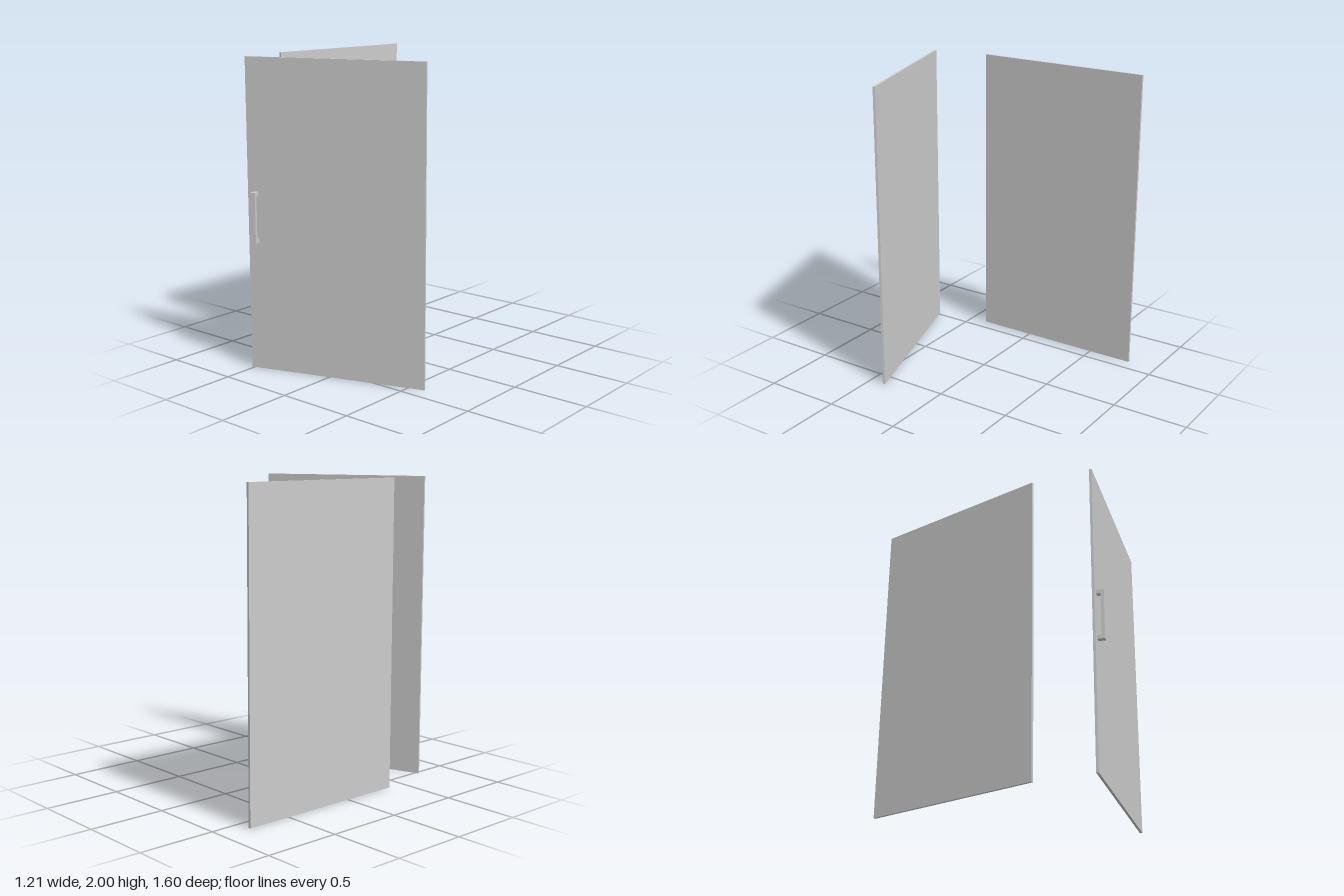
import * as THREE from 'three';

const THICK = 0.016;
const mat = new THREE.MeshStandardMaterial({ color: 0xcccccc, flatShading: true });

// A flat panel assembled from polygonal pieces that meet along fine joints
function makePanel(name, pieces, toLocal) {
  const panel = new THREE.Group();
  panel.name = name;
  pieces.forEach((points, i) => {
    const shape = new THREE.Shape(points.map(([a, y]) => new THREE.Vector2(toLocal(a), y)));
    const geo = new THREE.ExtrudeGeometry(shape, { depth: THICK, bevelEnabled: false });
    geo.translate(0, 0, -THICK / 2);
    const mesh = new THREE.Mesh(geo, mat);
    mesh.name = `${name}Piece${i + 1}`;
    panel.add(mesh);
  });
  return panel;
}

// C-shaped pull handle: a grip bar on two standoffs
function makeHandle() {
  const handle = new THREE.Group();
  handle.name = 'handle';
  const add = (name, w, h, d, y, z) => {
    const mesh = new THREE.Mesh(new THREE.BoxGeometry(w, h, d), mat);
    mesh.name = name;
    mesh.position.set(0, y, z);
    handle.add(mesh);
  };
  const front = 0.055, back = THICK / 2, inner = 0.034;
  add('gripBar', 0.031, 0.325, front - inner, 0.9975, (front + inner) / 2);
  for (const [name, y] of [['lowerStandoff', 0.8475], ['upperStandoff', 1.1475]]) {
    add(name, 0.031, 0.025, inner - back, y, (inner + back) / 2);
  }
  return handle;
}

export function createModel() {
  const model = new THREE.Group();
  model.name = 'doorAndSidePanel';

  // Swung door: piece corners given as (x, y), then unfolded along the door
  const angle = 0.318, doorX = 0.0405;
  const doorPieces = [
    [[-0.52, 2], [-0.52, 1.585], [-0.18, 1.57], [0.135, 1.57], [0.5, 2]],
    [[-0.52, 1.585], [-0.52, 1.06], [-0.18, 1.57]],
    [[-0.18, 1.57], [-0.52, 1.06], [-0.52, 1], [0.07, 1], [0.135, 1.57]],
    [[0.5, 2], [0.135, 1.57], [0.07, 1], [0.07, 0.845], [0.601, 0.845], [0.601, 2]],
    [[0.07, 0.845], [0.07, 0.42], [0.601, 0.42], [0.601, 0.845]],
    [[0.07, 0.42], [0, 0.33], [0, 0], [0.601, 0], [0.601, 0.42]],
    [[0, 0.33], [-0.52, 0.33], [-0.52, 0], [0, 0]],
    [[-0.52, 1], [-0.52, 0.33], [0, 0.33]],
    [[-0.52, 1], [0, 0.33], [0.07, 0.42], [0.07, 1]],
  ];
  const door = makePanel('door', doorPieces, (x) => (x - doorX) / Math.cos(angle));
  door.position.set(doorX, 0, 0.576);
  door.rotation.y = angle;
  const handle = makeHandle();
  handle.position.x = -0.534;
  door.add(handle);
  model.add(door);

  // Fixed side panel: piece corners given as (z, y)
  const sidePieces = [
    [[0.38, 2], [0.38, 1.555], [-0.43, 1.504], [-0.8, 1.48], [-0.8, 2]],
    [[0.38, 1.555], [0.38, 1.14], [-0.43, 1.504]],
    [[0.38, 1.14], [0.38, 1.08], [-0.8, 1.295], [-0.8, 1.48], [-0.43, 1.504]],
    [[0.38, 1.08], [0.38, 0.5], [-0.8, 1], [-0.8, 1.295]],
    [[0.38, 0.5], [0.38, 0], [-0.8, 0], [-0.8, 1]],
  ];
  const side = makePanel('sidePanel', sidePieces, (z) => -z);
  side.position.x = -0.597;
  side.rotation.y = Math.PI / 2;
  model.add(side);

  return model;
}
